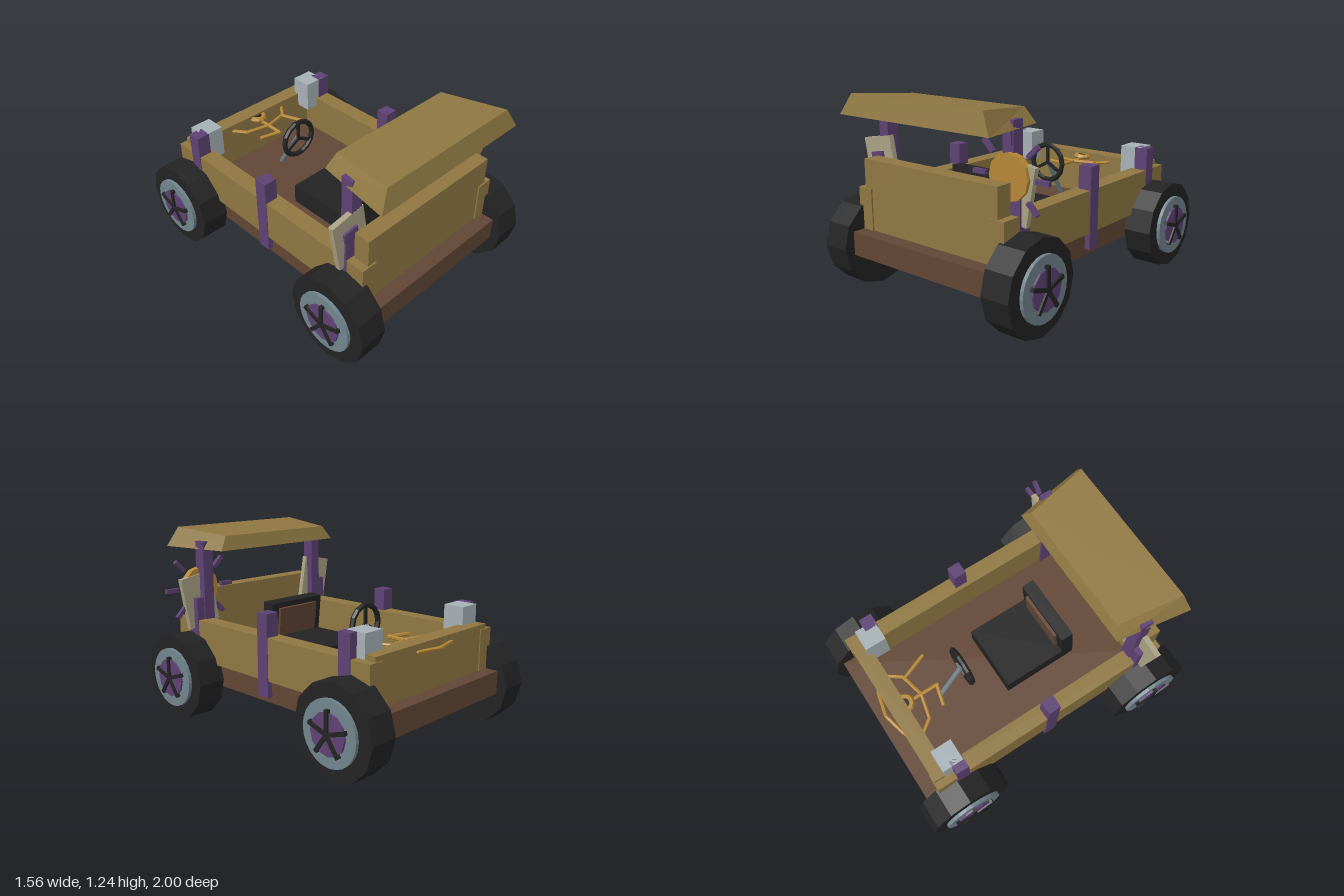
import * as THREE from 'three';

const mat = (name, color) => {
  const m = new THREE.MeshStandardMaterial({ color });
  m.name = name;
  m.flatShading = true;
  return m;
};

export function createModel() {
  const root = new THREE.Group();
  const olive = mat('olive wood', 0x8f7742);
  const brown = mat('brown base', 0x624635);
  const purple = mat('purple', 0x5e4274);
  const black = mat('black rubber', 0x232323);
  const steel = mat('steel blue', 0x72848d);
  const grey = mat('light grey', 0xa6b0b5);
  const cream = mat('cream', 0xa8a184);
  const orange = mat('orange', 0xb58736);
  const roofMat = mat('roof olive', 0x8f7742);
  roofMat.side = THREE.DoubleSide;

  const add = (name, geo, m, parent = root) => {
    const mesh = new THREE.Mesh(geo, m);
    mesh.name = name;
    parent.add(mesh);
    return mesh;
  };
  // box given by its limits on each axis
  const box = (name, m, x0, x1, y0, y1, z0, z1, parent) => {
    const b = add(name, new THREE.BoxGeometry(x1 - x0, y1 - y0, z1 - z0), m, parent);
    b.position.set((x0 + x1) / 2, (y0 + y1) / 2, (z0 + z1) / 2);
    return b;
  };
  // the same box on one side or the other
  const sideBox = (name, m, s, x0, x1, ...rest) =>
    s > 0 ? box(name, m, x0, x1, ...rest) : box(name, m, -x1, -x0, ...rest);
  // straight bar between two points
  const bar = (name, m, a, b, r, sides = 6) => {
    const p = new THREE.Vector3(...a), q = new THREE.Vector3(...b);
    const d = q.clone().sub(p);
    const c = add(name, new THREE.CylinderGeometry(r, r, d.length(), sides), m);
    c.position.copy(p).add(q).multiplyScalar(0.5);
    c.quaternion.setFromUnitVectors(new THREE.Vector3(0, 1, 0), d.normalize());
    return c;
  };

  // tub
  box('chassis', brown, -0.55, 0.55, 0.24, 0.39, -0.93, 0.93);
  box('frontPanel', olive, -0.53, 0.53, 0.385, 0.835, 0.73, 0.835);
  box('rearPanel', olive, -0.53, 0.53, 0.385, 0.685, -0.838, -0.73);

  for (const s of [1, -1]) {
    sideBox('sideWall', olive, s, 0.47, 0.58, 0.385, 0.655, -0.845, 0.845);
    for (const z of [0.677, 0, -0.663])
      sideBox('shortPost', purple, s, 0.495, 0.585, 0.28, 0.8, z - 0.043, z + 0.043);
    sideBox('roofPost', purple, s, 0.455, 0.53, 0.39, 1.165, 0.625, 0.705);
    sideBox('lampBox', grey, s, 0.385, 0.53, 0.59, 0.8, -0.765, -0.625);
    const board = add('sideBoard', new THREE.BoxGeometry(0.235, 0.34, 0.034), cream);
    board.position.set(s * 0.53, 0.78, 0.689);
    board.rotation.z = -s * 0.175;
  }
  const patch = add('boardPatch', new THREE.BoxGeometry(0.1, 0.19, 0.03), purple);
  patch.position.set(-0.533, 0.762, 0.707);
  patch.rotation.z = 0.175;

  // sun ornament on the left side
  const sun = new THREE.Group();
  sun.name = 'sunOrnament';
  sun.position.set(0.51, 0.86, 0.705);
  root.add(sun);
  add('sunDisc', new THREE.CylinderGeometry(0.135, 0.135, 0.045, 12), orange, sun).rotation.x = Math.PI / 2;
  for (let i = 0; i < 8; i++) {
    const a = (i * Math.PI) / 4;
    const ray = add('sunRay', new THREE.BoxGeometry(0.09, 0.026, 0.026), purple, sun);
    ray.position.set(Math.cos(a) * 0.215, Math.sin(a) * 0.215, 0);
    ray.rotation.z = a;
  }

  // hollow tapered canopy: lower rim, then upper rim
  const rim = [[-0.58, 1.115, 0.955], [0.58, 1.115, 0.955], [0.5, 1.115, 0.47], [-0.5, 1.115, 0.47],
    [-0.51, 1.24, 0.92], [0.51, 1.24, 0.92], [0.44, 1.205, 0.5], [-0.44, 1.205, 0.5]];
  const roof = new THREE.BufferGeometry();
  roof.setAttribute('position', new THREE.Float32BufferAttribute(rim.flat(), 3));
  const faces = [4, 5, 6, 4, 6, 7];
  for (let i = 0; i < 4; i++) {
    const j = (i + 1) % 4;
    faces.push(i, j, j + 4, i, j + 4, i + 4);
  }
  roof.setIndex(faces);
  const roofFlat = roof.toNonIndexed();
  roofFlat.computeVertexNormals();
  add('canopy', roofFlat, roofMat);

  // seat facing the steering wheel
  box('seatCushion', black, -0.225, 0.225, 0.39, 0.52, -0.1, 0.36);
  const back = new THREE.Group();
  back.name = 'seatBack';
  back.position.set(0, 0.575, 0.365);
  back.rotation.x = -0.1;
  root.add(back);
  box('backRest', black, -0.225, 0.225, -0.185, 0.185, -0.042, 0.042, back);
  box('backPad', brown, -0.165, 0.165, -0.04, 0.15, -0.062, -0.04, back);

  // steering wheel and column
  const steer = new THREE.Group();
  steer.name = 'steeringWheel';
  steer.position.set(0, 0.685, -0.305);
  root.add(steer);
  add('steeringRim', new THREE.TorusGeometry(0.122, 0.018, 6, 14), black, steer);
  for (let i = 0; i < 3; i++) {
    const a = Math.PI / 2 + (i * Math.PI * 2) / 3;
    const spoke = add('steeringSpoke', new THREE.BoxGeometry(0.12, 0.02, 0.015), black, steer);
    spoke.position.set(Math.cos(a) * 0.06, Math.sin(a) * 0.06, 0);
    spoke.rotation.z = a;
  }
  bar('steeringColumn', steel, [0, 0.685, -0.315], [0, 0.4, -0.49], 0.016, 8);

  // flat orange web lying behind the rear panel
  const Y = 0.638;
  const ring = Array.from({ length: 8 }, (_, i) => {
    const a = (i * Math.PI) / 4;
    return [Math.cos(a) * 0.23, Y, -0.745 + Math.sin(a) * 0.13];
  });
  ring.forEach((p, i) => bar('webRing', orange, p, ring[(i + 1) % 8], 0.012));
  bar('webStem', orange, [0, Y, -0.73], [0, Y, -0.49], 0.012);
  bar('webTwig', orange, [0, Y, -0.5], [-0.14, Y, -0.535], 0.012);
  bar('webTwig', orange, [0.15, Y, -0.65], [0.22, Y, -0.47], 0.012);
  const hub = add('webHub', new THREE.TorusGeometry(0.045, 0.02, 6, 12), orange);
  hub.rotation.x = Math.PI / 2;
  hub.position.set(0, 0.655, -0.735);
  const eye = add('webHubCentre', new THREE.CylinderGeometry(0.03, 0.03, 0.03, 10), black);
  eye.position.set(0, 0.655, -0.735);

  // wheels: axis along x, hub side outward
  for (const s of [1, -1]) for (const z of [0.715, -0.715]) {
    const wheel = new THREE.Group();
    wheel.name = 'wheel';
    wheel.position.set(0, 0.287, z);
    wheel.rotation.y = s > 0 ? 0 : Math.PI;
    root.add(wheel);
    const disc = (name, m, r, x0, x1, sides) => {
      const d = add(name, new THREE.CylinderGeometry(r, r, x1 - x0, sides), m, wheel);
      d.rotation.z = Math.PI / 2;
      d.position.x = (x0 + x1) / 2;
    };
    disc('tyre', black, 0.286, 0.55, 0.735, 12);
    disc('rim', steel, 0.194, 0.7, 0.757, 24);
    disc('hubcap', purple, 0.125, 0.74, 0.77, 12);
    for (let i = 0; i < 5; i++) {
      const a = (i * Math.PI * 2) / 5;
      const spoke = add('wheelSpoke', new THREE.BoxGeometry(0.026, 0.14, 0.024), black, wheel);
      spoke.position.set(0.768, Math.cos(a) * 0.07, Math.sin(a) * 0.07);
      spoke.rotation.x = a;
    }
  }
  return root;
}
